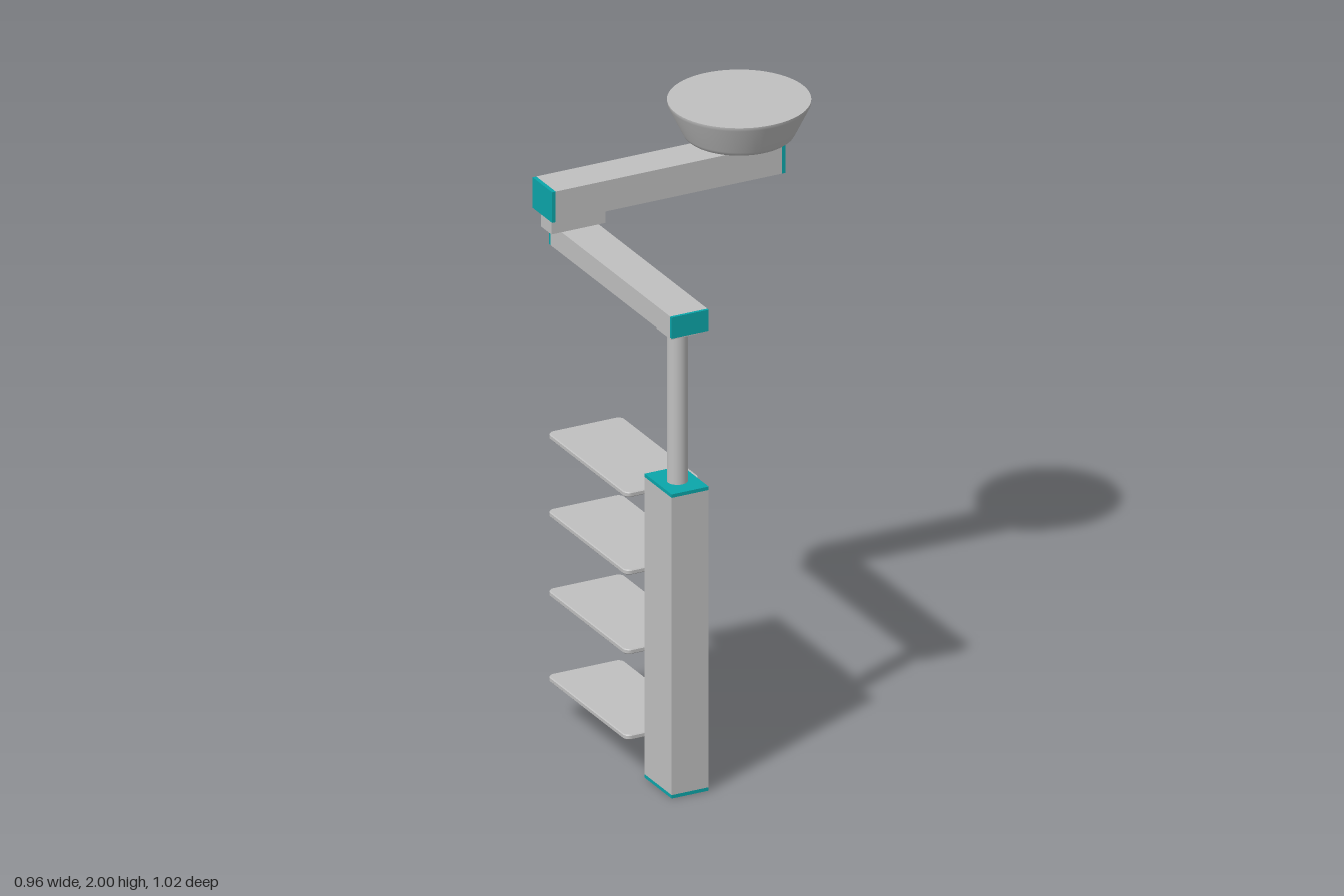
import * as THREE from 'three';

export function createModel() {
  const root = new THREE.Group();
  const mat = (name, color) => {
    const m = new THREE.MeshStandardMaterial({ color });
    m.name = name;
    return m;
  };
  const grey = mat('light grey', 0xc0c0c0);
  const teal = mat('teal', 0x0ba6aa);
  const black = mat('black', 0x101010);

  const add = (name, geo, material, x = 0, y = 0, z = 0, parent = root) => {
    const m = new THREE.Mesh(geo, material);
    m.name = name;
    m.position.set(x, y, z);
    parent.add(m);
    return m;
  };
  // Box given by its limits on each axis
  const box = (name, material, [x0, x1], [y0, y1], [z0, z1], parent = root) =>
    add(name, new THREE.BoxGeometry(x1 - x0, y1 - y0, z1 - z0), material,
      (x0 + x1) / 2, (y0 + y1) / 2, (z0 + z1) / 2, parent);
  const roundedRect = (w, h, r) => {
    const s = new THREE.Shape();
    s.absarc(w / 2 - r, h / 2 - r, r, 0, Math.PI / 2);
    s.absarc(-w / 2 + r, h / 2 - r, r, Math.PI / 2, Math.PI);
    s.absarc(-w / 2 + r, -h / 2 + r, r, Math.PI, Math.PI * 1.5);
    s.absarc(w / 2 - r, -h / 2 + r, r, Math.PI * 1.5, Math.PI * 2);
    s.closePath();
    return s;
  };

  const colX = [-0.415, -0.281], colZ = [0.325, 0.51], midX = -0.348;

  // Service column with end caps
  box('column', grey, colX, [0.012, 1.053], colZ);
  box('columnBottomCap', teal, colX, [0, 0.012], colZ);
  box('columnTopCap', teal, colX, [1.053, 1.065], colZ);

  // Suspension pole and its collar
  add('pole', new THREE.CylinderGeometry(0.034, 0.034, 0.53, 32), grey, midX, 1.327, 0.422);
  box('poleCollar', grey, [-0.398, -0.298], [1.588, 1.61], [0.372, 0.472]);

  // Lower arm, running front to back
  box('lowerArm', grey, colX, [1.61, 1.685], [-0.322, 0.5]);
  box('lowerArmFrontCap', teal, colX, [1.61, 1.685], [0.5, 0.51]);
  box('lowerArmBackCap', teal, colX, [1.61, 1.685], [-0.332, -0.322]);

  // Joint and upper arm, running sideways
  box('armJoint', grey, [-0.452, -0.256], [1.685, 1.74], [-0.316, -0.246]);
  box('upperArm', grey, [-0.452, 0.366], [1.74, 1.847], [-0.35, -0.216]);
  box('upperArmRightCap', teal, [-0.465, -0.452], [1.74, 1.847], [-0.35, -0.216]);
  box('upperArmLeftCap', teal, [0.366, 0.379], [1.74, 1.847], [-0.35, -0.216]);

  // Ceiling mount
  box('mountJoint', black, [0.146, 0.344], [1.847, 1.878], [-0.316, -0.246]);
  const profile = [[0, 1.876], [0.164, 1.876], [0.172, 1.878], [0.179, 1.884], [0.184, 1.893],
    [0.23, 1.988], [0.231, 2]].map(([r, y]) => new THREE.Vector2(r, y));
  add('ceilingCover', new THREE.LatheGeometry(profile, 64), grey, 0.246, 0, -0.283);
  add('ceilingCoverTop', new THREE.CircleGeometry(0.231, 64), grey, 0.246, 2, -0.283).rotation.x = -Math.PI / 2;

  // Shelves with drilled brackets
  const bevel = 0.003;
  const shelfGeo = new THREE.ExtrudeGeometry(roundedRect(0.264, 0.538, 0.02), {
    depth: 0.011, bevelSize: bevel, bevelThickness: bevel, bevelSegments: 1, curveSegments: 6,
  }).rotateX(-Math.PI / 2);

  const bracket = new THREE.Shape();   // first axis runs backwards from the column
  bracket.moveTo(0, 0);
  bracket.lineTo(0, -0.122);
  bracket.lineTo(0.042, -0.122);
  bracket.quadraticCurveTo(0.056, -0.121, 0.061, -0.106);
  bracket.lineTo(0.088, 0);
  bracket.closePath();
  for (const y of [-0.026, -0.06, -0.094]) {
    const hole = new THREE.Path();
    hole.absarc(0.034, y, 0.008, 0, Math.PI * 2, true);
    bracket.holes.push(hole);
  }
  const bracketGeo = new THREE.ExtrudeGeometry(bracket, { depth: 0.02, bevelEnabled: false, curveSegments: 8 })
    .translate(0, 0, -0.01).rotateY(Math.PI / 2);

  for (const top of [1.008, 0.736, 0.458, 0.158]) {
    const unit = new THREE.Group();
    unit.name = 'shelfUnit';
    root.add(unit);
    add('shelf', shelfGeo, grey, -0.346, top - 0.014, 0.05, unit);
    add('shelfBracket', bracketGeo, grey, midX, top - 0.017, 0.325, unit);
  }

  // Framed sockets on the left side of the column
  const sideX = colX[1], sideZ = 0.414;
  const frame = roundedRect(0.078, 0.074, 0.006);
  frame.holes.push(roundedRect(0.056, 0.052, 0.004));
  const frameGeo = new THREE.ExtrudeGeometry(frame, { depth: 0.008, bevelEnabled: false, curveSegments: 3 })
    .rotateY(Math.PI / 2);
  [[0.868, [-0.028]], [0.755, [0, -0.03]], [0.628, [0.004, -0.024]], [0.513, [-0.028]]].forEach(([y, rows]) => {
    const socket = new THREE.Group();
    socket.name = 'socket';
    root.add(socket);
    add('socketFrame', frameGeo, grey, sideX, y, sideZ, socket);
    box('socketPlate', grey, [sideX, sideX + 0.004], [y - 0.027, y + 0.027], [sideZ - 0.029, sideZ + 0.029], socket);
    for (const dy of rows) for (const dz of [-0.014, 0, 0.014]) {
      box('socketSlot', black, [sideX, sideX + 0.0086], [y + dy - 0.002, y + dy + 0.002],
        [sideZ + dz - 0.004, sideZ + dz + 0.004], socket);
    }
  });

  // Round gas outlets
  const outletGeo = new THREE.CylinderGeometry(0.03, 0.03, 0.005, 24).rotateZ(Math.PI / 2);
  for (const y of [0.35, 0.238, 0.127]) add('gasOutlet', outletGeo, black, sideX + 0.0025, y, sideZ);

  return root;
}
